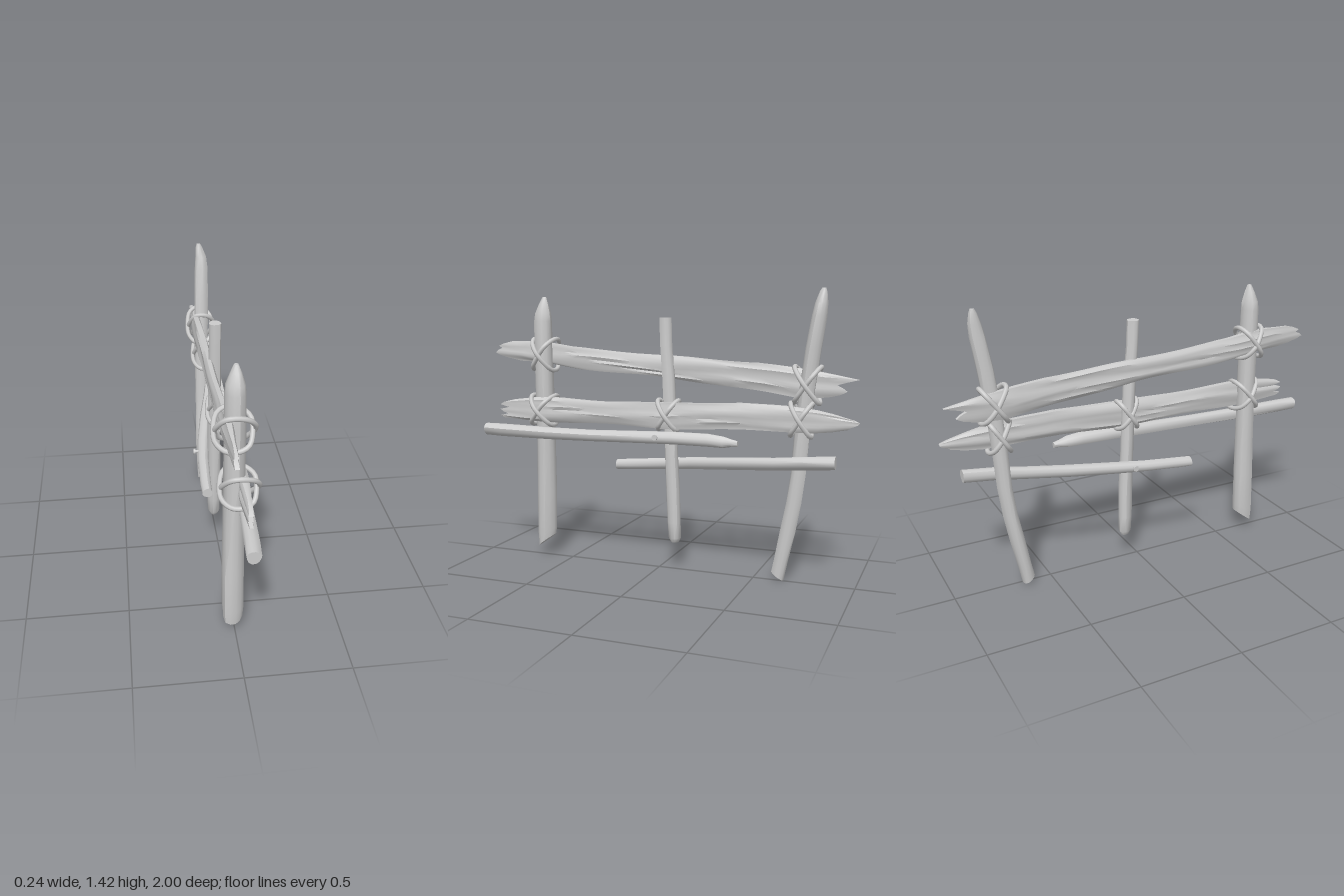
import * as THREE from 'three';
import { toCreasedNormals } from 'three/addons/utils/BufferGeometryUtils.js';

const wood = new THREE.MeshStandardMaterial({ color: 0xcccccc });

// Skin a list of equal-length rings; both ends are closed by strips across the ring
function loft(rings) {
  const N = rings[0].length, pos = rings.flat(2), idx = [];
  for (let i = 0; i < rings.length - 1; i++) {
    for (let j = 0; j < N; j++) {
      const a = i * N + j, b = i * N + (j + 1) % N;
      idx.push(a, a + N, b, b, a + N, b + N);
    }
  }
  const e = (rings.length - 1) * N;
  for (let j = 0; j < N / 2 - 1; j++) {
    const k = N - 2 - j;
    idx.push(j, j + 1, k, j, k, k + 1);
    idx.push(e + j, e + k, e + j + 1, e + j, e + k + 1, e + k);
  }
  const g = new THREE.BufferGeometry();
  g.setAttribute('position', new THREE.Float32BufferAttribute(pos, 3));
  g.setIndex(idx);
  return toCreasedNormals(g, 0.75);
}

function add(group, name, geometry) {
  const m = new THREE.Mesh(geometry, wood);
  m.name = name;
  group.add(m);
  return m;
}

// Rough round branch; stations are [x, y, z, radius, end slant]
function branch(stations, upright, seed) {
  const N = 12;
  return loft(stations.map(([x, y, z, r, slant = 0], i) =>
    Array.from({ length: N }, (_, j) => {
      const a = (j + 0.5) / N * Math.PI * 2;
      const q = r * (1 + 0.06 * Math.sin(3 * a + seed + i * 0.5) + 0.03 * Math.sin(5 * a + seed * 2));
      const u = Math.cos(a) * q, v = Math.sin(a) * q;
      return upright ? [x + u, y + v * slant, z + v] : [x + u, y + v, z + v * slant];
    })));
}

// Split board; profile is [t, bottom, top], the end lists give ragged z from bottom to top
function plank(x, half, profile, frontEnd, backEnd, seed) {
  const n = frontEnd.length, steps = 24, rings = [];
  for (let s = 0; s <= steps; s++) {
    const t = s / steps;
    let k = 0;
    while (k < profile.length - 2 && t > profile[k + 1][0]) k++;
    const [p, q] = [profile[k], profile[k + 1]];
    const f = (t - p[0]) / (q[0] - p[0]);
    const lo = THREE.MathUtils.lerp(p[1], q[1], f), hi = THREE.MathUtils.lerp(p[2], q[2], f);
    const taper = 0.4 + 0.6 * Math.min(1, 9 * Math.min(t, 1 - t));
    const point = (j, side) => {
      const v = j / (n - 1);
      const grain = 0.004 * Math.sin(j * 2.3 + seed + side + 2 * Math.sin(t * 7 + j));
      const w = half * taper * (0.5 + 0.5 * Math.sqrt(Math.sin(Math.PI * v))) + grain * taper;
      const wave = 0.004 * Math.sin(t * 17 + seed + v * 4);
      return [x + side * w, lo + (hi - lo) * v + wave, THREE.MathUtils.lerp(frontEnd[j], backEnd[j], t)];
    };
    const ring = [];
    for (let j = 0; j < n; j++) ring.push(point(j, 1));
    for (let j = n - 1; j >= 0; j--) ring.push(point(j, -1));
    rings.push(ring);
  }
  return loft(rings);
}

// Two crossed rope loops around a joint
function lashing(name, x, y, z, rx, dy, dz) {
  const g = new THREE.Group();
  g.name = name;
  for (const s of [-1, 1]) {
    const pts = [];
    for (let i = 0; i < 10; i++) {
      const a = i / 10 * Math.PI * 2 + s * 0.15, w = 1 + 0.04 * Math.sin(i * 2.4 + s);
      pts.push(new THREE.Vector3(Math.cos(a) * rx * w + s * 0.004, Math.sin(a) * dy * w, s * Math.sin(a) * dz * w));
    }
    add(g, 'ropeLoop', new THREE.TubeGeometry(new THREE.CatmullRomCurve3(pts, true), 30, 0.012, 7, true));
  }
  g.position.set(x, y, z);
  return g;
}

// Nail lying along x, head on the given side
function nail(x, y, z, side) {
  const g = new THREE.Group();
  g.name = 'nail';
  add(g, 'nailShank', new THREE.CylinderGeometry(0.007, 0.007, 0.1, 8)).position.y = -0.05;
  add(g, 'nailHead', new THREE.CylinderGeometry(0.015, 0.015, 0.01, 8));
  g.rotation.z = -side * Math.PI / 2;
  g.position.set(x, y, z);
  return g;
}

export function createModel() {
  const model = new THREE.Group();
  model.name = 'fence';

  // Upright posts
  add(model, 'frontPost', branch([
    [-0.01, 0.085, 0.66, 0.047, -0.75], [-0.01, 0.14, 0.66, 0.052, -0.3], [-0.01, 0.35, 0.657, 0.052],
    [-0.008, 0.6, 0.655, 0.049], [-0.005, 0.85, 0.655, 0.048], [-0.004, 1.1, 0.657, 0.048],
    [-0.004, 1.27, 0.658, 0.046], [-0.004, 1.31, 0.656, 0.042], [-0.003, 1.36, 0.652, 0.025], [-0.003, 1.395, 0.648, 0.01],
  ], true, 1));
  add(model, 'middlePost', branch([
    [-0.012, 0.145, -0.08, 0.02], [-0.012, 0.165, -0.08, 0.031], [-0.012, 0.25, -0.077, 0.034],
    [-0.01, 0.42, -0.072, 0.035], [-0.01, 0.6, -0.063, 0.033], [-0.01, 0.8, -0.055, 0.033],
    [-0.01, 1.0, -0.045, 0.032], [-0.01, 1.15, -0.032, 0.03], [-0.01, 1.29, -0.027, 0.03],
  ], true, 2.2));
  add(model, 'backPost', branch([
    [-0.015, 0.025, -0.622, 0.031, 0.6], [-0.015, 0.1, -0.637, 0.034], [-0.015, 0.25, -0.667, 0.037],
    [-0.012, 0.4, -0.695, 0.036], [-0.01, 0.55, -0.714, 0.036], [-0.01, 0.75, -0.727, 0.037],
    [-0.008, 0.95, -0.745, 0.037], [-0.004, 1.15, -0.772, 0.038], [0, 1.3, -0.797, 0.036],
    [0, 1.36, -0.806, 0.03], [-0.008, 1.41, -0.812, 0.018], [-0.01, 1.428, -0.814, 0.01],
  ], true, 3.7));

  // Split planks
  add(model, 'upperPlank', plank(-0.04, 0.023,
    [[0, 1.055, 1.165], [0.1, 1.045, 1.165], [0.2, 1.025, 1.135], [0.35, 1.005, 1.12], [0.5, 0.99, 1.1],
      [0.65, 0.965, 1.085], [0.8, 0.935, 1.075], [0.92, 0.91, 1.045], [1, 0.92, 1.025]],
    [0.81, 0.89, 0.94, 0.97, 0.955, 0.93, 0.95, 0.92, 0.87],
    [-0.84, -0.9, -0.93, -0.91, -0.88, -0.93, -0.985, -0.92, -0.86], 0.5));
  add(model, 'lowerPlank', plank(0.032, 0.026,
    [[0, 0.75, 0.855], [0.1, 0.745, 0.87], [0.3, 0.745, 0.865], [0.5, 0.74, 0.865], [0.7, 0.75, 0.885],
      [0.85, 0.755, 0.87], [0.94, 0.758, 0.855], [1, 0.775, 0.83]],
    [0.88, 0.905, 0.86, 0.89, 0.905, 0.85, 0.905, 0.88, 0.82],
    [-0.95, -0.96, -0.98, -0.995, -1, -0.995, -0.985, -0.97, -0.95], 2));

  // Thin loose rails
  add(model, 'upperRail', branch([
    [0.03, 0.687, 1, 0.032], [0.035, 0.685, 0.9, 0.034], [0.048, 0.682, 0.6, 0.032], [0.058, 0.684, 0.35, 0.03],
    [0.06, 0.69, 0.1, 0.031], [0.062, 0.695, -0.1, 0.032], [0.066, 0.695, -0.28, 0.032],
    [0.068, 0.69, -0.36, 0.028], [0.066, 0.688, -0.4, 0.018], [0.065, 0.686, -0.43, 0.014],
  ], false, 0.3));
  add(model, 'lowerRail', branch([
    [-0.082, 0.517, 0.27, 0.025], [-0.083, 0.523, 0.2, 0.027], [-0.075, 0.54, 0, 0.028],
    [-0.06, 0.555, -0.15, 0.03], [-0.02, 0.575, -0.4, 0.031], [0.02, 0.592, -0.6, 0.031],
    [0.045, 0.608, -0.75, 0.032], [0.058, 0.62, -0.9, 0.032],
  ], false, 4));

  // Rope lashings at the joints
  model.add(
    lashing('frontUpperLashing', -0.01, 1.095, 0.65, 0.087, 0.083, 0.06),
    lashing('frontLowerLashing', 0.015, 0.803, 0.65, 0.085, 0.078, 0.063),
    lashing('middleLashing', 0.015, 0.805, -0.053, 0.06, 0.075, 0.052),
    lashing('backUpperLashing', -0.012, 0.975, -0.747, 0.07, 0.087, 0.063),
    lashing('backLowerLashing', 0.008, 0.81, -0.725, 0.065, 0.08, 0.052));

  // Nails holding the rails to the middle post
  model.add(nail(0.108, 0.7, -0.015, 1), nail(-0.115, 0.555, -0.065, -1));
  return model;
}
